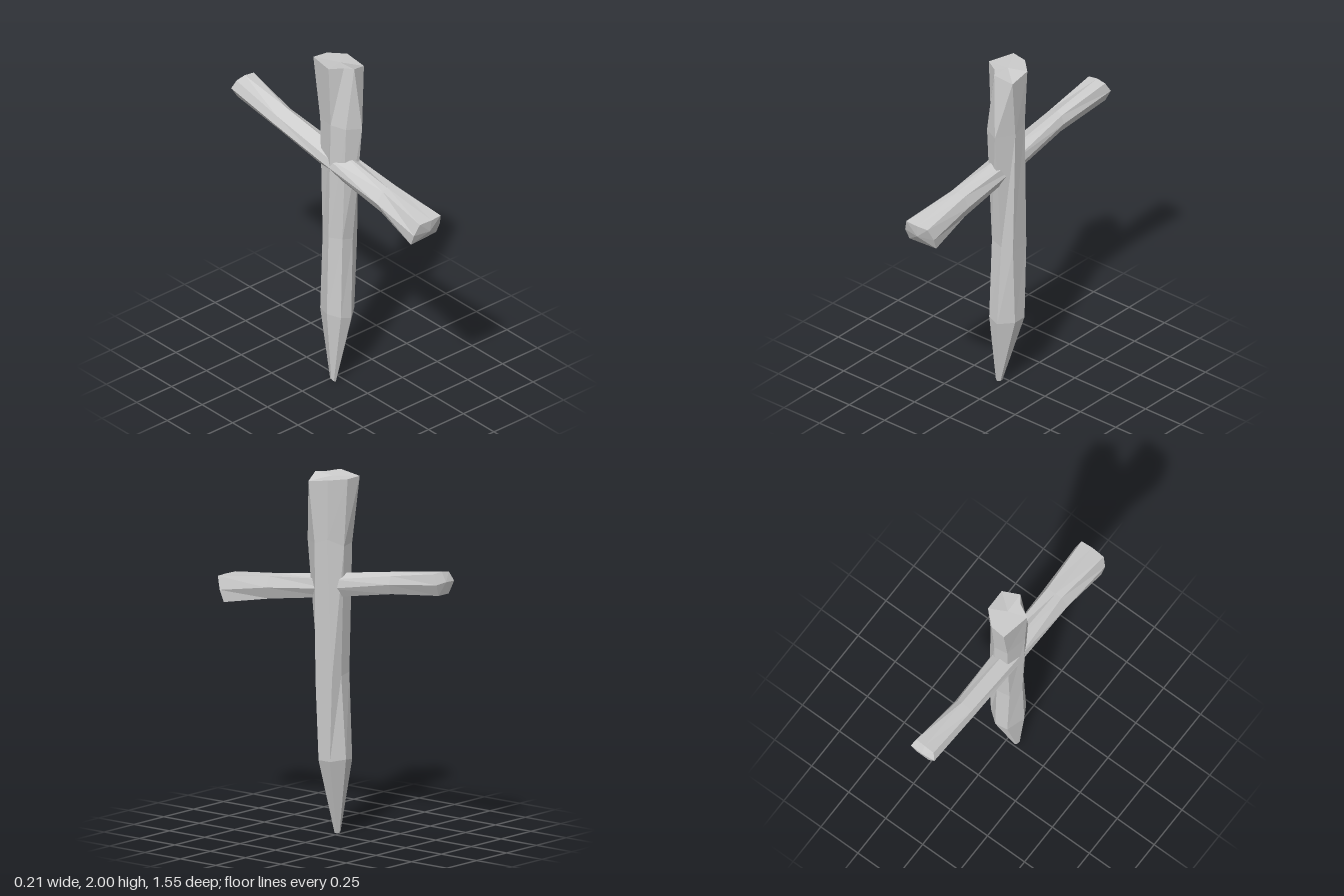
import * as THREE from 'three';

const material = new THREE.MeshStandardMaterial({ color: 0xcccccc, flatShading: true });

// Skin a closed faceted solid over rings of [x, y, z] points, each ring
// running clockwise as seen from the last ring; bulge offsets the cap centres.
function loft(name, rings, startBulge, endBulge) {
  const n = rings[0].length;
  const last = rings.length - 1;
  const positions = [];
  const tri = (...points) => points.forEach((p) => positions.push(...p));
  const centre = (ring, bulge) =>
    bulge.map((b, axis) => b + ring.reduce((sum, p) => sum + p[axis], 0) / n);
  const start = centre(rings[0], startBulge);
  const end = centre(rings[last], endBulge);

  for (let i = 0; i < n; i++) {
    const j = (i + 1) % n;
    for (let r = 0; r < last; r++) {
      const low = rings[r], high = rings[r + 1];
      tri(low[j], low[i], high[i]);
      tri(low[j], high[i], high[j]);
    }
    tri(start, rings[0][i], rings[0][j]);
    tri(end, rings[last][j], rings[last][i]);
  }
  const geometry = new THREE.BufferGeometry();
  geometry.setAttribute('position', new THREE.Float32BufferAttribute(positions, 3));
  geometry.computeVertexNormals();
  const mesh = new THREE.Mesh(geometry, material);
  mesh.name = name;
  return mesh;
}

// Upright stake: rough seven-sided sections [x, z] at each height
function createStake() {
  const foot = [[-0.06, -0.07], [0.01, -0.085], [0.08, -0.03], [0.08, 0.05],
    [0.005, 0.11], [-0.06, 0.1], [-0.1, 0.03]];
  const waist = [[-0.06, -0.05], [0.02, -0.06], [0.08, -0.045], [0.083, 0.07],
    [0.025, 0.1], [-0.045, 0.095], [-0.088, 0.03]];
  const shoulder = [[-0.06, -0.07], [0.02, -0.08], [0.09, -0.02], [0.095, 0.065],
    [0.035, 0.165], [-0.05, 0.13], [-0.09, 0.05]];
  const head = [[-0.07, -0.115], [0.02, -0.105], [0.1, -0.03], [0.105, 0.1],
    [0.005, 0.135], [-0.03, 0.09], [-0.105, 0.05]];
  // the sharpened tip is a shrunken copy of the foot section
  const tip = foot.map(([x, z]) => [-0.05 + x * 0.18, 0.025 + z * 0.18]);

  const sections = [
    [tip, [0.01, 0, 0, 0, 0, 0.005, 0.015]],
    [foot, [0.42, 0.43, 0.42, 0.42, 0.41, 0.43, 0.44]],
    [waist, [0.9, 0.89, 0.88, 0.88, 0.9, 0.92, 0.92]],
    [shoulder, [1.62, 1.61, 1.65, 1.62, 1.62, 1.63, 1.64]],
    [head, [1.99, 1.985, 1.98, 1.96, 1.995, 1.995, 2]],
  ];
  const rings = sections.map(([points, heights]) =>
    points.map(([x, z], i) => [x, heights[i], z]));
  return loft('stake', rings, [0, 0, 0], [0, 0, 0]);
}

// Tilted crossbar: seven-sided sections [x, y offset] with a ridge on top
function createCrossbar() {
  const backEnd = [[-0.07, 0.05], [-0.01, 0.06], [0.05, 0.055], [0.065, 0],
    [0.035, -0.065], [-0.05, -0.065], [-0.09, 0]];
  const backMiddle = [[-0.075, 0.035], [-0.01, 0.065], [0.02, 0.045], [0.038, 0],
    [0.015, -0.055], [-0.055, -0.06], [-0.092, -0.01]];
  const middle = [[-0.08, 0.035], [-0.01, 0.068], [0.045, 0.04], [0.055, -0.01],
    [0.03, -0.06], [-0.055, -0.065], [-0.092, -0.01]];
  const frontMiddle = [[-0.05, 0.06], [-0.01, 0.065], [0.045, 0.06], [0.07, 0],
    [0.045, -0.065], [-0.06, -0.065], [-0.092, 0]];
  const frontEnd = [[-0.08, 0.07], [0, 0.07], [0.07, 0.07], [0.09, 0],
    [0.085, -0.065], [-0.1, -0.07], [-0.105, 0]];

  const sections = [
    [backEnd, 1.5, [-0.745, -0.745, -0.74, -0.77, -0.76, -0.76, -0.765]],
    [backMiddle, 1.447, Array(7).fill(-0.41)],
    [middle, 1.38, Array(7).fill(0)],
    [frontMiddle, 1.318, Array(7).fill(0.43)],
    [frontEnd, 1.265, [0.77, 0.775, 0.77, 0.74, 0.715, 0.72, 0.75]],
  ];
  const rings = sections.map(([points, y, depths]) =>
    points.map(([x, dy], i) => [x, y + dy, depths[i]]));
  return loft('crossbar', rings, [0, 0, -0.02], [0, -0.01, 0.02]);
}

export function createModel() {
  const model = new THREE.Group();
  model.name = 'woodenCross';
  model.add(createStake(), createCrossbar());
  return model;
}
